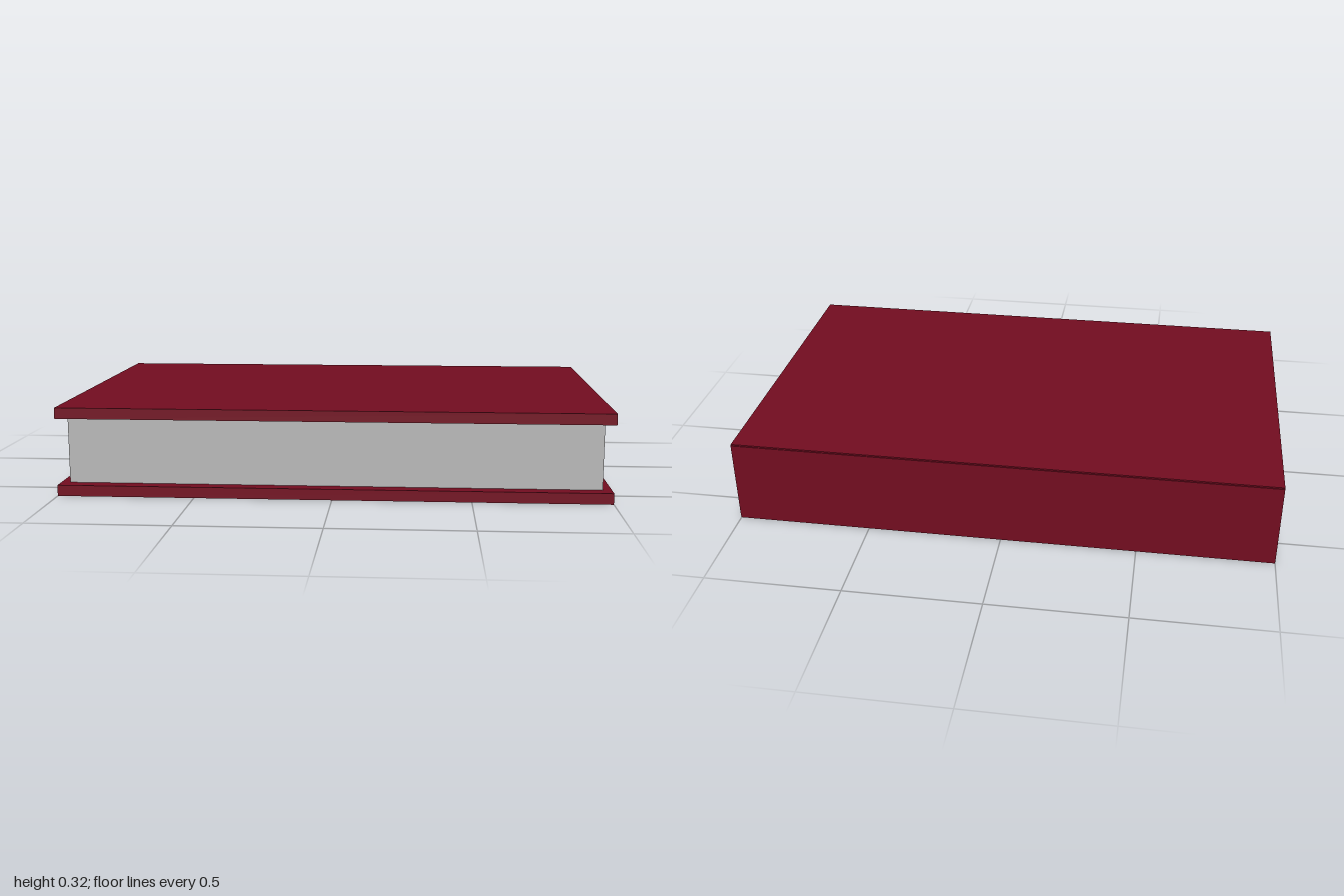
import * as THREE from 'three';

export function createModel() {
  const book = new THREE.Group();
  book.name = 'book';

  const coverRed = new THREE.MeshStandardMaterial({ color: 0x730d20 });
  coverRed.name = 'coverRed';
  const pageGrey = new THREE.MeshStandardMaterial({ color: 0xb8b8b8 });
  pageGrey.name = 'pageGrey';

  // Box given by its lower and upper corners
  function addBox(name, material, [x0, y0, z0], [x1, y1, z1]) {
    const mesh = new THREE.Mesh(new THREE.BoxGeometry(x1 - x0, y1 - y0, z1 - z0), material);
    mesh.position.set((x0 + x1) / 2, (y0 + y1) / 2, (z0 + z1) / 2);
    mesh.name = name;
    book.add(mesh);
  }

  // Two cover boards, overhanging the pages on three sides
  addBox('bottomCover', coverRed, [-1, 0, -0.625], [1, 0.04, 0.628]);
  addBox('topCover', coverRed, [-1, 0.285, -0.625], [1, 0.325, 0.628]);

  // Spine, standing just proud of the boards at the back
  addBox('spine', coverRed, [-1, 0.01, -0.628], [1, 0.32, -0.585]);

  // Page block
  addBox('pages', pageGrey, [-0.967, 0.04, -0.585], [0.967, 0.285, 0.578]);

  return book;
}
